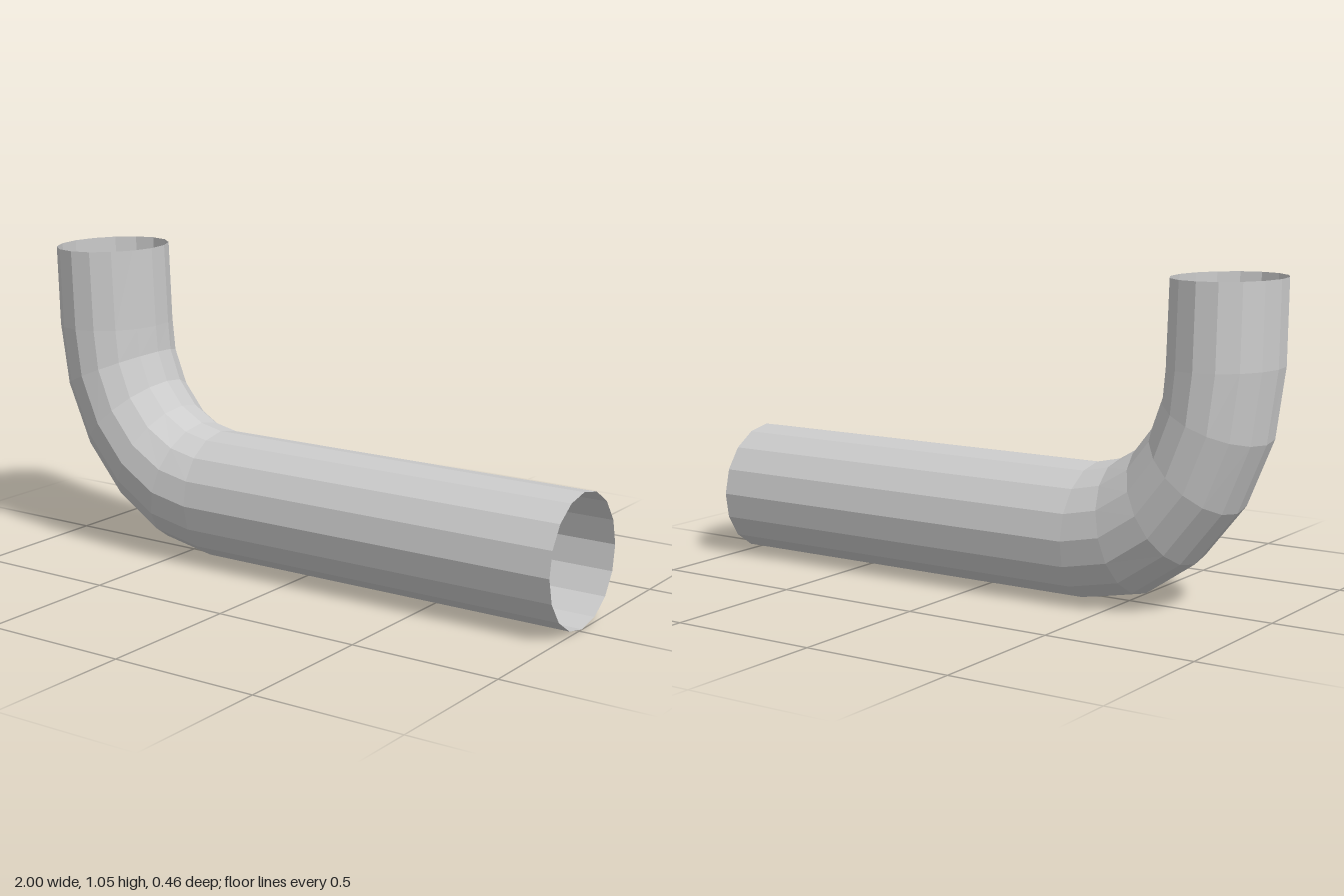
import * as THREE from 'three';

// Each ring of the pipe: outer point (x, y), then inner point (x, y) of the bend
const RINGS = [
  [-1.0, 1.05, -0.655, 1.05],
  [-1.0, 0.78, -0.65, 0.78],
  [-0.97, 0.55, -0.645, 0.69],
  [-0.88, 0.33, -0.61, 0.59],
  [-0.74, 0.155, -0.548, 0.51],
  [-0.57, 0.04, -0.463, 0.46],
  [-0.38, 0.003, -0.38, 0.442],
  [1.0, 0.003, 1.0, 0.442],
];
const SIDES = 16;
const HALF_WIDTH = 0.217;

// Joins the elliptical rings into an open tube
function pipeGeometry() {
  const positions = [];
  const index = [];
  RINGS.forEach(([ox, oy, ix, iy], r) => {
    for (let s = 0; s < SIDES; s++) {
      const a = (s / SIDES) * Math.PI * 2;
      const t = (1 - Math.cos(a)) / 2;
      const x = ox + (ix - ox) * t;
      const y = oy + (iy - oy) * t;
      // The pipe leans slightly forward as it rises
      const z = HALF_WIDTH * Math.sin(a) - 0.02 + 0.033 * y;
      positions.push(x, y, z);
      if (r < RINGS.length - 1) {
        const n = (s + 1) % SIDES;
        const p = r * SIDES + s, q = r * SIDES + n;
        index.push(p, p + SIDES, q, q, p + SIDES, q + SIDES);
      }
    }
  });
  const geometry = new THREE.BufferGeometry();
  geometry.setAttribute('position', new THREE.Float32BufferAttribute(positions, 3));
  geometry.setIndex(index);
  geometry.computeVertexNormals();
  return geometry;
}

export function createModel() {
  const model = new THREE.Group();
  model.name = 'elbowPipe';
  const material = new THREE.MeshStandardMaterial({
    color: 0xcccccc,
    flatShading: true,
    side: THREE.DoubleSide,
  });
  const pipe = new THREE.Mesh(pipeGeometry(), material);
  pipe.name = 'bentPipe';
  model.add(pipe);
  return model;
}
